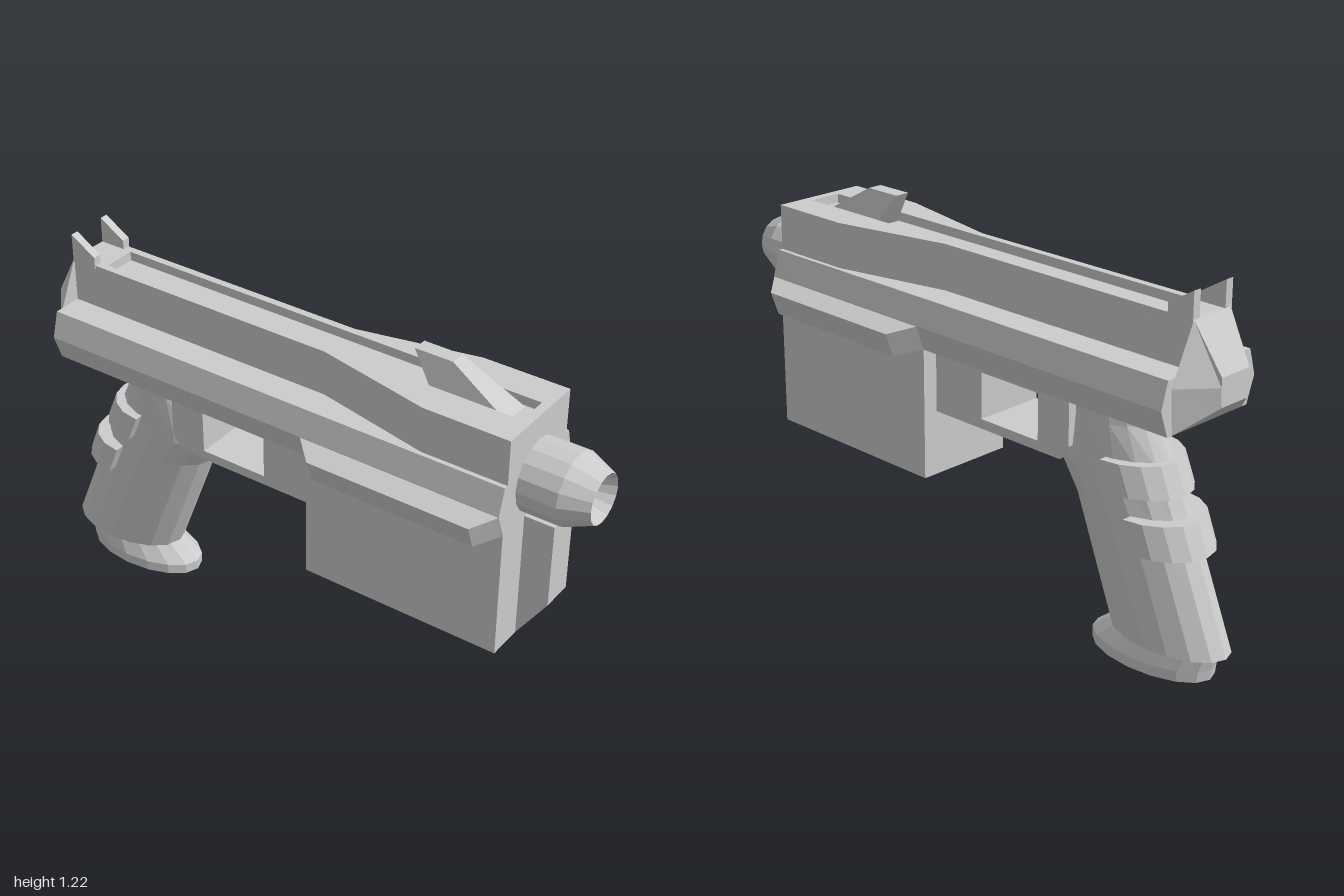
import * as THREE from 'three';

const material = new THREE.MeshStandardMaterial({ color: 0xcccccc, flatShading: true });

// Skin a list of equal-length rings, capped at both ends, faces outward
function loft(rings) {
  const tris = [];
  const n = rings[0].length;
  for (let r = 0; r < rings.length - 1; r++) {
    for (let i = 0; i < n; i++) {
      const j = (i + 1) % n;
      const [a, b, c, d] = [rings[r][i], rings[r][j], rings[r + 1][j], rings[r + 1][i]];
      tris.push([a, b, c], [a, c, d]);
    }
  }
  const first = rings[0], last = rings[rings.length - 1];
  for (let i = 1; i < n - 1; i++) {
    tris.push([first[0], first[i + 1], first[i]], [last[0], last[i], last[i + 1]]);
  }
  // Signed volume, measured from a corner, decides the winding
  const v = (p) => new THREE.Vector3(...p).sub(new THREE.Vector3(...first[0]));
  let volume = 0;
  for (const [a, b, c] of tris) volume += v(a).dot(v(b).cross(v(c)));
  if (volume < 0) tris.forEach((t) => t.reverse());
  const geometry = new THREE.BufferGeometry();
  geometry.setAttribute('position', new THREE.Float32BufferAttribute(tris.flat(2), 3));
  geometry.computeVertexNormals();
  return geometry;
}

// Outline symmetric in z, from right-hand [z, y] points, at a given x
function section(x, half) {
  const right = half.map(([z, y]) => [x, y, z]);
  const left = half.map(([z, y]) => [x, y, -z]).reverse();
  return [...right, ...left];
}

// Horizontal oval ring between two x limits
function oval(y, x0, x1, rz, sides = 16) {
  return Array.from({ length: sides }, (_, i) => {
    const a = (i / sides) * Math.PI * 2;
    return [(x0 + x1) / 2 + ((x1 - x0) / 2) * Math.cos(a), y, rz * Math.sin(a)];
  });
}

// Horizontal rectangle ring
function rect(y, x0, x1, z) {
  return [[x0, y, -z], [x1, y, -z], [x1, y, z], [x0, y, z]];
}

// Side profile in x, y extruded to a thickness centred on z
function plate(points, thickness, z = 0, hole = null) {
  const shape = new THREE.Shape(points.map((p) => new THREE.Vector2(...p)));
  if (hole) shape.holes.push(new THREE.Path(hole.map((p) => new THREE.Vector2(...p))));
  return new THREE.ExtrudeGeometry(shape, { depth: thickness, bevelEnabled: false })
    .translate(0, 0, z - thickness / 2);
}

export function createModel() {
  const model = new THREE.Group();
  model.name = 'pistol';
  const add = (name, geometry) => {
    const mesh = new THREE.Mesh(geometry, material);
    mesh.name = name;
    model.add(mesh);
    return mesh;
  };

  // Receiver with bevelled flanks
  const flank = [[0.175, 0.81], [0.205, 0.895], [0.18, 0.98]];
  add('receiver', loft([section(-0.89, flank), section(0.78, flank)]));

  // Slide, wider at the muzzle, with a long sunken channel on top
  const plan = [[-0.89, 0.08], [0.09, 0.08], [0.49, 0.165], [0.78, 0.165]];
  const outline = [...plan, ...plan.map(([x, z]) => [x, -z]).reverse()];
  const channel = [[-0.77, -0.055], [0.75, -0.055], [0.75, 0.055], [-0.77, 0.055]];
  const layer = (y, height, hole) => plate(outline, height, height / 2, hole)
    .rotateX(-Math.PI / 2).translate(0, y, 0);
  add('slide', layer(0.97, 0.13));
  add('slideTop', layer(1.1, 0.03, channel));

  // Tapered rear cap
  add('rearCap', loft([
    section(-0.89, [[0.155, 0.81], [0.165, 0.95], [0.08, 1.13]]),
    section(-0.98, [[0.055, 0.89], [0.06, 0.95], [0.06, 0.98]]),
  ]));

  // Sights
  add('frontSight', loft([rect(1.1, 0.45, 0.7, 0.05), rect(1.215, 0.37, 0.5, 0.025)]));
  const post = [[-0.89, 1.12], [-0.8, 1.12], [-0.8, 1.16], [-0.89, 1.215]];
  for (const side of [-1, 1]) add('rearSight', plate(post, 0.028, side * 0.07));

  // Barrel with a shallow bore
  const barrelProfile = [[0, 0], [0.118, 0], [0.118, 0.13], [0.08, 0.22], [0.055, 0.17], [0, 0.17]]
    .map((p) => new THREE.Vector2(...p));
  const barrel = add('barrel', new THREE.LatheGeometry(barrelProfile, 16));
  barrel.rotation.z = -Math.PI / 2;
  barrel.position.set(0.78, 0.93, 0);

  // Forward housing and its front keel
  add('forwardHousing', new THREE.BoxGeometry(0.69, 0.435, 0.35).translate(0.435, 0.5925, 0));
  add('frontKeel', plate(
    [[0.77, 0.375], [0.78, 0.375], [0.88, 0.525], [0.88, 0.81], [0.77, 0.81]], 0.108));

  // Tilted side rails, chamfered at the ends
  for (const s of [-1, 1]) {
    const end = (xin, xout) => [
      [xin, 0.893, s * 0.204], [xout, 0.866, s * 0.268],
      [xout, 0.787, s * 0.24], [xin, 0.81, s * 0.172],
    ];
    add('sideRail', loft([end(0.09, 0.16), end(0.78, 0.72)]));
  }

  // Trigger guard
  add('triggerGuard', plate(
    [[-0.44, 0.59], [0.1, 0.59], [0.1, 0.82], [-0.475, 0.82], [-0.475, 0.64]], 0.245, 0,
    [[-0.35, 0.622], [-0.11, 0.622], [-0.11, 0.775], [-0.35, 0.775]]));

  // Raked grip and flared foot
  add('grip', loft([
    oval(0.09, -1, -0.575, 0.12), oval(0.49, -0.835, -0.42, 0.12), oval(0.59, -0.79, -0.35, 0.12),
    oval(0.63, -0.77, -0.36, 0.12), oval(0.75, -0.71, -0.42, 0.12), oval(0.82, -0.705, -0.42, 0.12),
  ]));
  add('gripFoot', loft([
    oval(0, -0.945, -0.5, 0.115), oval(0.035, -0.95, -0.5, 0.115), oval(0.095, -0.965, -0.575, 0.095),
  ]));

  // Raised straps round the back of the grip
  const arc = (y, back, front) => Array.from({ length: 9 }, (_, i) => {
    const a = (i / 8) * Math.PI;
    return [front - (front - back) * Math.sin(a), y, 0.142 * Math.cos(a)];
  });
  add('upperStrap', loft([arc(0.555, -0.825, -0.655), arc(0.65, -0.785, -0.615)]));
  add('lowerStrap', loft([arc(0.39, -0.915, -0.75), arc(0.49, -0.875, -0.71)]));

  return model;
}
